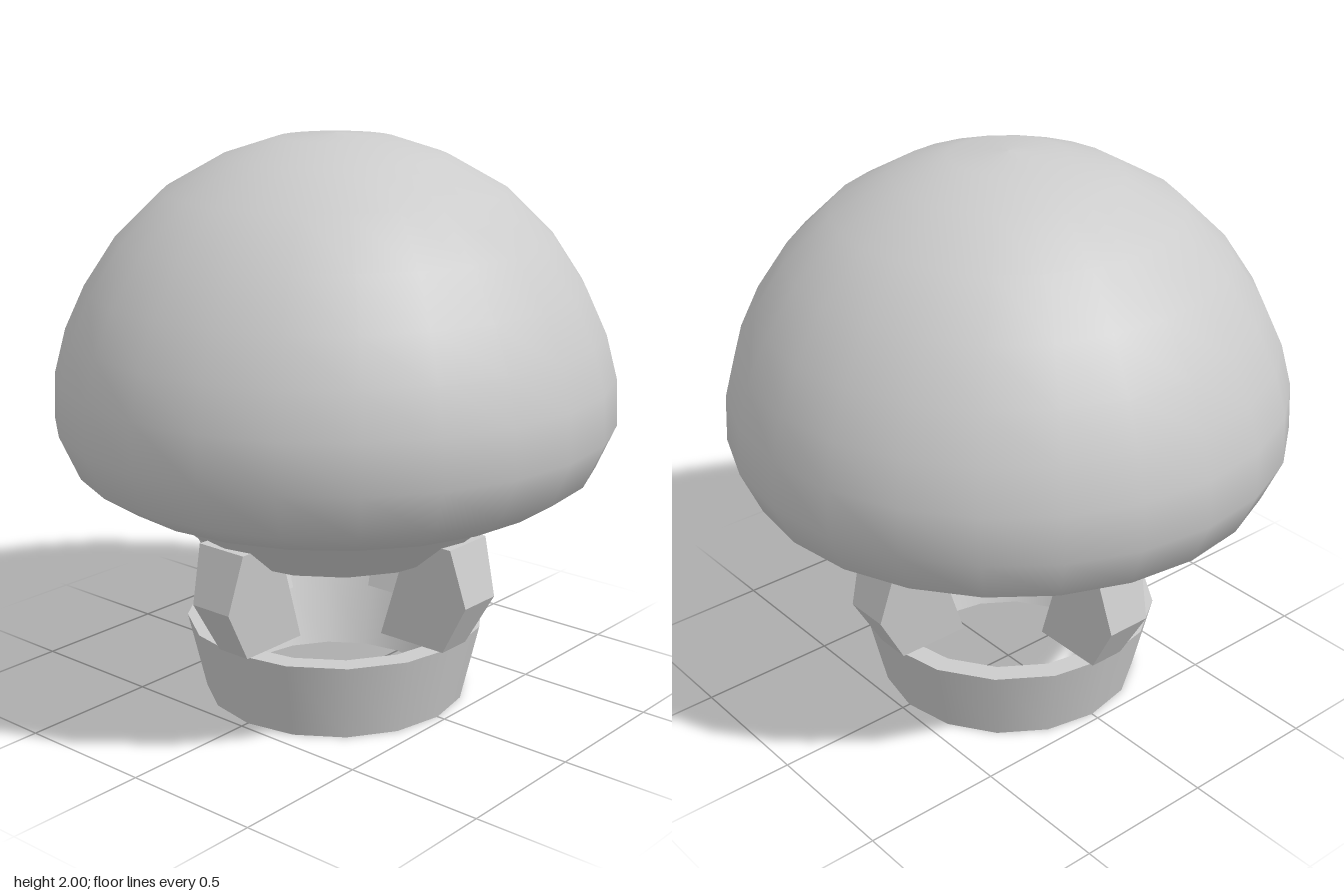
import * as THREE from 'three';

const material = new THREE.MeshStandardMaterial({ color: 0xcccccc });
const flatMaterial = new THREE.MeshStandardMaterial({ color: 0xcccccc, flatShading: true });

// Turned surface; profile given as [radius, height] pairs, bottom to top on the outside
function lathe(name, profile, segments) {
  const points = profile.map(([r, y]) => new THREE.Vector2(r, y));
  const mesh = new THREE.Mesh(new THREE.LatheGeometry(points, segments), material);
  mesh.name = name;
  return mesh;
}

// Angular bracket: side outline extruded, then narrowed towards the bottom
function prongGeometry() {
  const outline = [[0.265, 0.28], [0.535, 0.28], [0.64, 0.47], [0.585, 0.67], [0.41, 0.67]];
  const shape = new THREE.Shape(outline.map(([x, y]) => new THREE.Vector2(x, y)));
  const geometry = new THREE.ExtrudeGeometry(shape, { depth: 1, bevelEnabled: false });
  geometry.translate(0, 0, -0.5);
  const pos = geometry.attributes.position;
  for (let i = 0; i < pos.count; i++) {
    const halfWidth = 0.065 + 0.035 * (pos.getY(i) - 0.28) / 0.39;
    pos.setZ(i, pos.getZ(i) * 2 * halfWidth);
  }
  geometry.computeVertexNormals();
  return geometry;
}

export function createModel() {
  const model = new THREE.Group();
  model.name = 'domedObject';

  // Rounded dome
  model.add(lathe('dome', [
    [0.66, 0.75], [0.79, 0.79], [0.91, 0.87], [0.978, 1.025], [0.97, 1.19], [0.93, 1.34],
    [0.86, 1.49], [0.75, 1.655], [0.59, 1.81], [0.385, 1.925], [0.2, 1.985], [0, 2],
  ], 24));

  // Tapered collar under the dome, with a closed bottom
  const collar = new THREE.Group();
  collar.name = 'collar';
  collar.add(lathe('collarSide', [[0.455, 0.575], [0.67, 0.755]], 16));
  collar.add(lathe('collarBottom', [[0, 0.575], [0.455, 0.575]], 16));
  model.add(collar);

  // Open base ring: each face is its own surface so the rims stay sharp
  const ring = new THREE.Group();
  ring.name = 'baseRing';
  ring.add(lathe('ringOuterWall', [[0.47, 0], [0.535, 0.28]], 16));
  ring.add(lathe('ringTop', [[0.535, 0.28], [0.46, 0.28]], 16));
  ring.add(lathe('ringInnerWall', [[0.46, 0.28], [0.365, 0]], 16));
  ring.add(lathe('ringBottom', [[0.365, 0], [0.47, 0]], 16));
  model.add(ring);

  // Four prongs joining the ring to the collar
  const geometry = prongGeometry();
  for (let i = 0; i < 4; i++) {
    const prong = new THREE.Mesh(geometry, flatMaterial);
    prong.name = 'prong' + (i + 1);
    prong.rotation.y = i * Math.PI / 2;
    model.add(prong);
  }
  return model;
}
